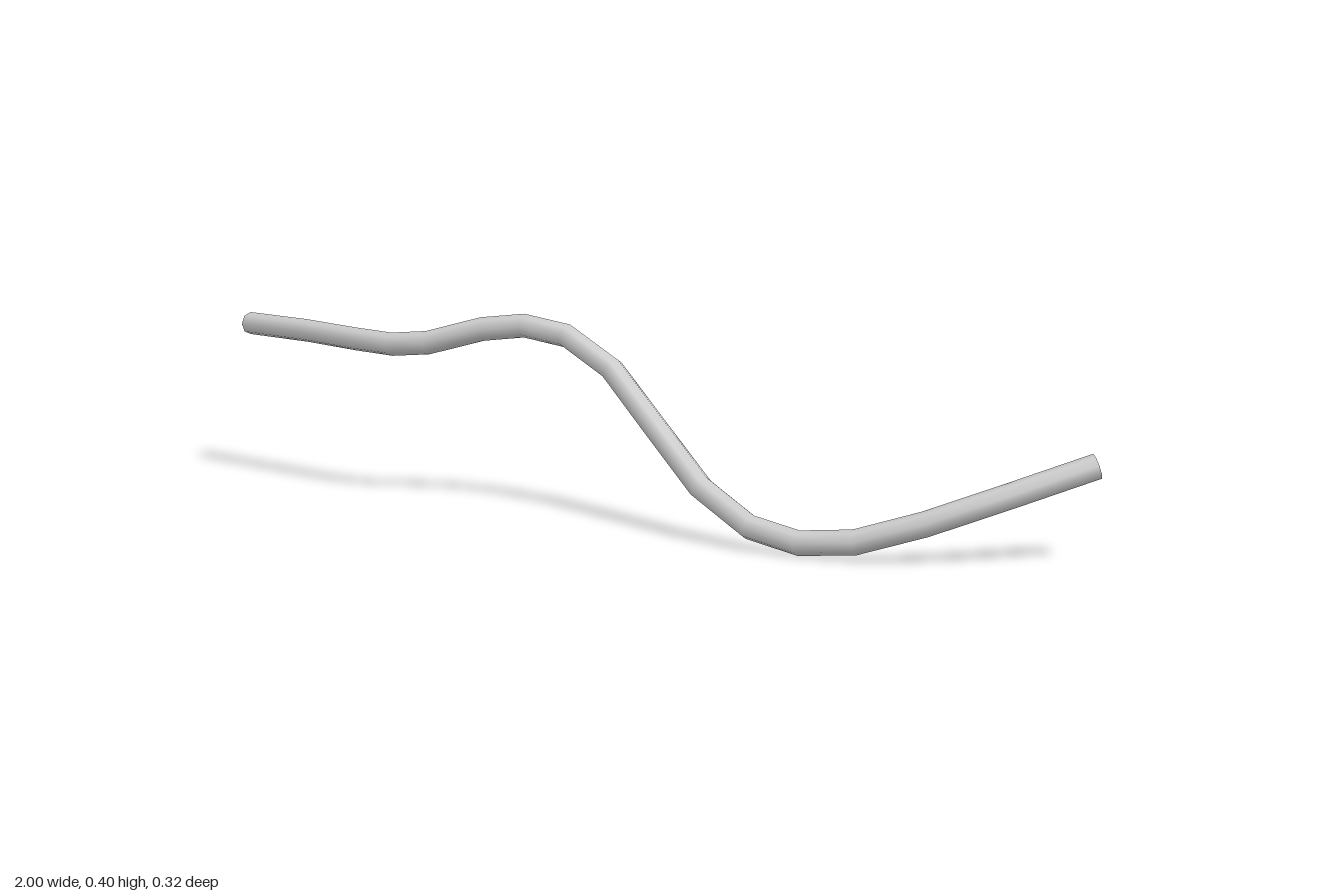
import * as THREE from 'three';

// Centre line of the pipe, one point per ring
const path = [
  [-0.997, 0.337, 0.084], [-0.8, 0.337, 0.108], [-0.64, 0.332, 0.125], [-0.53, 0.33, 0.133],
  [-0.44, 0.339, 0.123], [-0.32, 0.373, 0.087], [-0.23, 0.384, 0.061], [-0.13, 0.369, 0.046],
  [-0.01, 0.31, 0.05], [0.13, 0.202, 0.082], [0.26, 0.107, 0.116], [0.39, 0.047, 0.135],
  [0.5, 0.028, 0.13], [0.61, 0.039, 0.106], [0.73, 0.079, 0.052], [0.85, 0.13, -0.03],
  [0.983, 0.189, -0.143],
];

export function createModel() {
  const group = new THREE.Group();
  group.name = 'bentPipe';

  const curve = new THREE.CatmullRomCurve3(path.map((p) => new THREE.Vector3(...p)));
  // Place the rings exactly on the path points
  curve.getPointAt = (t, target) => curve.getPoint(t, target);
  curve.getTangentAt = (t, target) => curve.getTangent(t, target);

  // Open-ended, eight-sided tube
  const pipe = new THREE.Mesh(
    new THREE.TubeGeometry(curve, path.length - 1, 0.0245, 8, false),
    new THREE.MeshStandardMaterial({ color: 0xcccccc, side: THREE.DoubleSide }),
  );
  pipe.name = 'pipe';
  group.add(pipe);
  return group;
}
